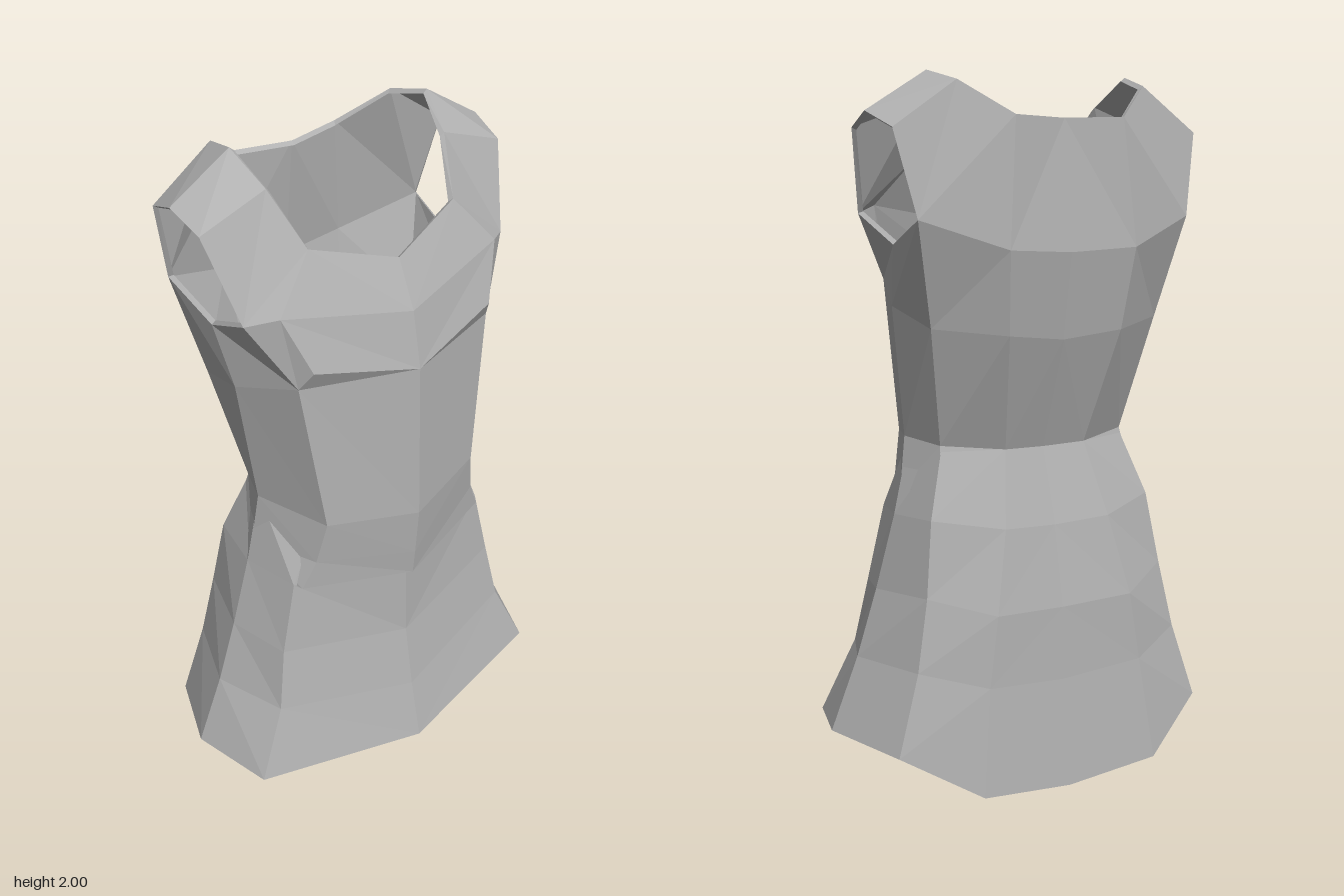
import * as THREE from 'three';

const cloth = new THREE.MeshStandardMaterial({ color: 0xb0b0b0 });
cloth.name = 'grey cloth';
cloth.flatShading = true;
cloth.side = THREE.DoubleSide;

// Fan-triangulates polygons given for the +x half and mirrors them to the -x half.
function mirroredMesh(name, polygons) {
  const pos = [];
  const flip = ([x, y, z]) => [-x, y, z];
  for (const poly of polygons) {
    for (let i = 1; i < poly.length - 1; i++) {
      const [a, b, c] = [poly[0], poly[i], poly[i + 1]];
      pos.push(...a, ...b, ...c, ...flip(a), ...flip(c), ...flip(b));
    }
  }
  const geo = new THREE.BufferGeometry();
  geo.setAttribute('position', new THREE.Float32BufferAttribute(pos, 3));
  geo.computeVertexNormals();
  const mesh = new THREE.Mesh(geo, cloth);
  mesh.name = name;
  return mesh;
}

// Quads between neighbouring half rings, listed from bottom to top.
function loft(rows) {
  const quads = [];
  for (let i = 0; i < rows.length - 1; i++) {
    for (let j = 0; j < rows[i].length - 1; j++) {
      quads.push([rows[i][j], rows[i][j + 1], rows[i + 1][j + 1], rows[i + 1][j]]);
    }
  }
  return quads;
}

// Narrow strip from an opening's edge towards an inner edge.
function lip(edge, offset) {
  const inner = edge.map(offset);
  return loft([edge, inner]);
}

export function createModel() {
  const group = new THREE.Group();
  group.name = 'sleevelessTunic';

  // Half rings run front centre, front corner, side, back corner, back panel, back centre.
  const skirt = [
    [[0, 0.09, 0.335], [0.525, 0.15, 0.235], [0.595, 0.175, 0], [0.5, 0.155, -0.24], [0.285, 0.03, -0.335], [0, 0.0, -0.322]],
    [[0, 0.28, 0.292], [0.43, 0.36, 0.2], [0.512, 0.38, 0], [0.43, 0.38, -0.22], [0.25, 0.33, -0.303], [0, 0.31, -0.29]],
    [[0, 0.48, 0.257], [0.395, 0.55, 0.175], [0.45, 0.57, 0], [0.39, 0.58, -0.2], [0.22, 0.53, -0.295], [0, 0.52, -0.28]],
    [[0, 0.72, 0.25], [0.345, 0.77, 0.165], [0.39, 0.78, 0], [0.36, 0.79, -0.17], [0.17, 0.76, -0.25], [0, 0.75, -0.235]],
    [[0, 0.97, 0.22], [0.24, 0.97, 0.15], [0.34, 1.0, 0], [0.295, 0.985, -0.112], [0.13, 0.97, -0.18], [0, 0.965, -0.168]],
  ];
  group.add(mirroredMesh('skirt', loft(skirt)));

  // Fitted bodice from its overlapping hem up to the bust line
  const chestRow = [[0, 1.42, 0.285], [0.325, 1.43, 0.185], [0.393, 1.37, -0.01],
    [0.365, 1.32, -0.19], [0.18, 1.3, -0.29], [0, 1.28, -0.275]];
  const bodice = [
    [[0, 0.72, 0.28], [0.33, 0.765, 0.187], [0.386, 0.77, 0], [0.34, 0.79, -0.16], [0.16, 0.76, -0.235], [0, 0.75, -0.22]],
    [[0, 0.8, 0.288], [0.29, 0.85, 0.2], [0.37, 0.85, 0], [0.32, 0.87, -0.14], [0.14, 0.85, -0.205], [0, 0.85, -0.19]],
    [[0, 0.95, 0.3], [0.265, 0.98, 0.22], [0.35, 1.0, 0.01], [0.3, 0.985, -0.112], [0.13, 0.97, -0.18], [0, 0.965, -0.168]],
    chestRow,
  ];
  group.add(mirroredMesh('bodice', loft(bodice)));

  // Corner points of the chest, neckline and armhole
  const [f0, f1, side, b1, b2, b0] = chestRow;
  const bust = [0.3, 1.485, 0.22], chestMid = [0, 1.58, 0.252], chestSide = [0.36, 1.64, 0.165];
  const neckFront = [0, 1.71, 0.19], neckCorner = [0.24, 1.78, 0.122];
  const neck1 = [0.29, 1.92, 0.02], neck2 = [0.32, 2.0, -0.09], neck3 = [0.295, 1.97, -0.215];
  const neckBack = [0.17, 1.88, -0.305], neckBack0 = [0, 1.875, -0.272];
  const armFront = [0.435, 1.62, 0.11], armLow = [0.415, 1.54, -0.07], armBack = [0.43, 1.61, -0.25];
  const arm1 = [0.49, 1.85, 0.02], arm2 = [0.502, 1.89, -0.09], arm3 = [0.48, 1.845, -0.21];
  const blade = [0.2, 1.53, -0.33], blade0 = [0, 1.52, -0.315];

  group.add(mirroredMesh('chest', [
    [f0, f1, bust],
    [f0, bust, chestSide, chestMid],
    [chestMid, chestSide, neckCorner, neckFront],
    [chestSide, armFront, neckCorner],
    [f1, armFront, chestSide, bust],
  ]));
  group.add(mirroredMesh('sidePanels', [
    [f1, side, armLow, armFront],
    [side, b1, armBack, armLow],
  ]));
  group.add(mirroredMesh('upperBack', [
    [b1, b2, blade, armBack],
    [b2, b0, blade0, blade],
    [blade, blade0, neckBack0, neckBack],
    [armBack, blade, neckBack, neck3, arm3],
  ]));
  group.add(mirroredMesh('shoulderStraps', [
    [armFront, arm1, neck1, neckCorner],
    [arm1, arm2, neck2, neck1],
    [arm2, arm3, neck3, neck2],
  ]));

  // Thin turned edges round the neck and the armholes
  const neckline = [neckFront, neckCorner, neck1, neck2, neck3, neckBack, neckBack0];
  group.add(mirroredMesh('necklineEdge',
    lip(neckline, ([x, y, z]) => [x * 0.96, y - 0.01, (z + 0.06) * 0.95 - 0.06])));
  const armhole = [armFront, armLow, armBack, arm3, arm2, arm1, armFront];
  group.add(mirroredMesh('armholeEdges',
    lip(armhole, ([x, y, z]) => [x - 0.012, (y - 1.72) * 0.95 + 1.72, (z + 0.07) * 0.95 - 0.07])));

  return group;
}
